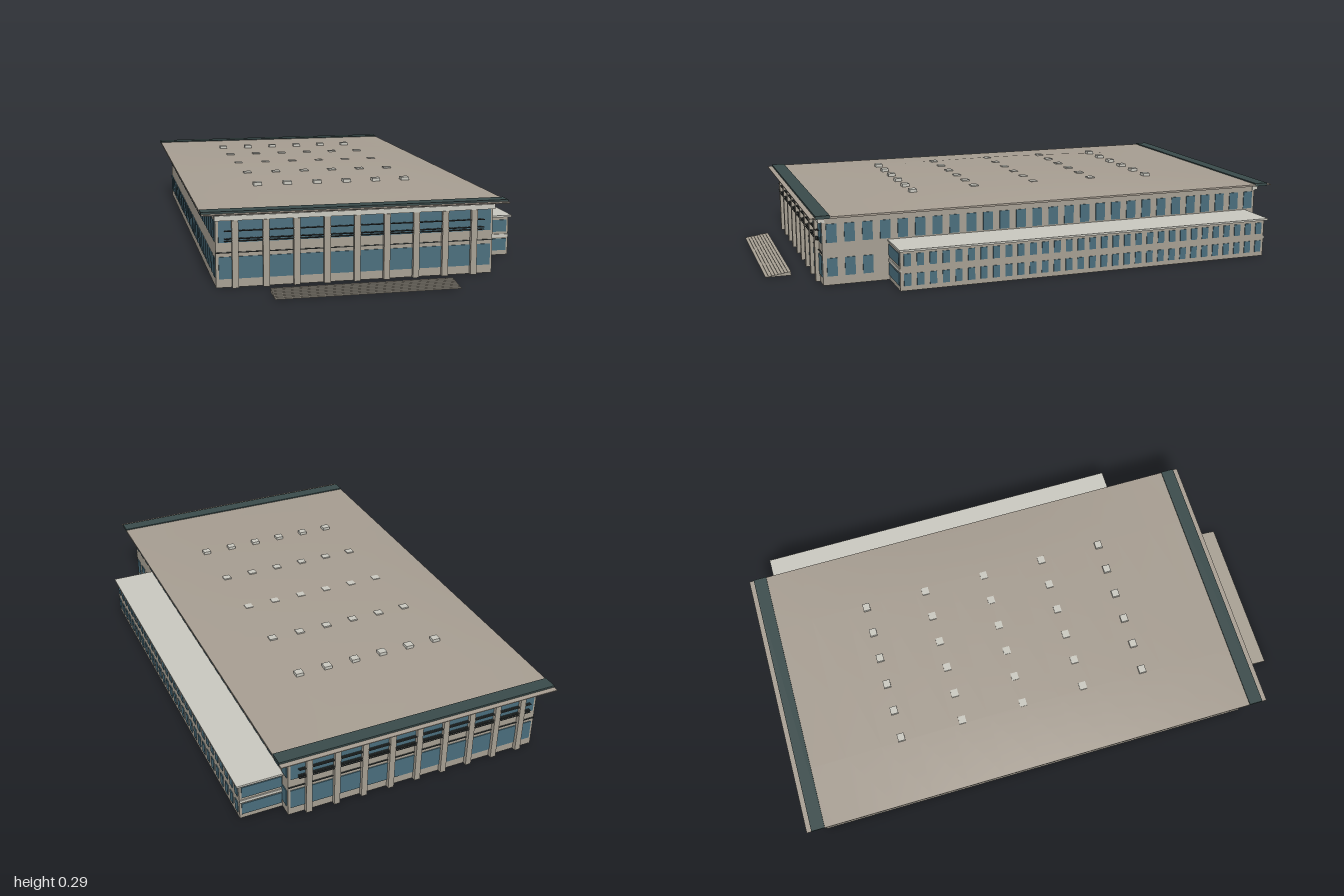
import * as THREE from 'three';
import { mergeGeometries } from 'three/addons/utils/BufferGeometryUtils.js';

const mat = (name, color, side = THREE.FrontSide) => {
  const m = new THREE.MeshStandardMaterial({ color, side });
  m.name = name;
  return m;
};

// box from its limits
function span(x0, x1, y0, y1, z0, z1) {
  return new THREE.BoxGeometry(x1 - x0, y1 - y0, z1 - z0)
    .translate((x0 + x1) / 2, (y0 + y1) / 2, (z0 + z1) / 2);
}

export function createModel() {
  const model = new THREE.Group();
  model.name = 'longHallBuilding';
  const wall = mat('wallStone', 0xa8a194);
  const roofMat = mat('roofSheet', 0xa79e92, THREE.DoubleSide);
  const pale = mat('paleTrim', 0xcac9c0);
  const teal = mat('darkTealMetal', 0x3a4b4b);
  const glass = mat('blueGlass', 0x4b6f7e);
  const dark = mat('darkGrille', 0x363b3a);

  const add = (name, material, geos, parent = model) => {
    const mesh = new THREE.Mesh(geos.length > 1 ? mergeGeometries(geos) : geos[0], material);
    mesh.name = name;
    parent.add(mesh);
    return mesh;
  };

  const X0 = -0.55, X1 = 0.43, Z0 = -0.95, Z1 = 0.817;
  const RX0 = -0.6, RX1 = 0.475, MID = -0.067;

  // Main hall and side wing
  add('mainHall', wall, [span(X0, X1, 0, 0.256, Z0, Z1)]);
  const WX = 0.588, WZ0 = -0.9, WZ1 = 0.573;
  add('sideWing', wall, [span(X1 - 0.01, WX, 0, 0.145, WZ0, WZ1)]);
  add('wingRoof', pale, [span(X1, 0.6, 0.145, 0.152, -0.91, 0.578)]);

  // Two rows of windows along both long walls
  const sideWindows = [];
  for (let i = 0; i < 27; i++) {
    const z = 0.783 - i * 0.0655;
    for (const [y0, y1] of [[0.033, 0.1], [0.157, 0.226]]) {
      sideWindows.push(span(X0 - 0.003, X0 + 0.003, y0, y1, z - 0.019, z + 0.019));
      if (y0 > 0.15 || z > WZ1 + 0.02 || z < WZ0)
        sideWindows.push(span(X1 - 0.003, X1 + 0.003, y0, y1, z - 0.019, z + 0.019));
    }
  }
  add('sideWindows', glass, sideWindows);

  // Small wing windows and full-width end windows
  const wingWindows = [];
  for (const [y0, y1] of [[0.018, 0.063], [0.09, 0.135]]) {
    for (let i = 0; i < 31; i++) {
      const z = 0.547 - i * 0.0474;
      wingWindows.push(span(WX - 0.003, WX + 0.003, y0, y1, z - 0.013, z + 0.013));
    }
    for (const z of [WZ0, WZ1])
      wingWindows.push(span(X1 + 0.003, WX - 0.008, y0, y1, z - 0.003, z + 0.003));
  }
  add('wingWindows', glass, wingWindows);
  add('wingEndBands', pale, [WZ0, WZ1].map(z => span(X1, WX, 0.069, 0.08, z - 0.004, z + 0.004)));

  // Matching front and back facades, mirrored by direction
  for (const [name, z, s] of [['frontFacade', Z1, 1], ['backFacade', Z0, -1]]) {
    const facade = new THREE.Group();
    facade.name = name;
    model.add(facade);
    const out = (x0, x1, y0, y1, a, b) =>
      span(x0, x1, y0, y1, Math.min(z + s * a, z + s * b), Math.max(z + s * a, z + s * b));

    add('facadeGlass', glass, [
      out(-0.54, 0.422, 0.03, 0.106, -0.003, 0.003),
      out(-0.54, 0.422, 0.155, 0.23, -0.003, 0.003)], facade);
    add('floorLine', dark, [out(X0, X1, 0.119, 0.122, 0, 0.004)], facade);
    add('cornice', pale, [out(X0 - 0.004, X1 + 0.004, 0.232, 0.249, -0.01, 0.014)], facade);

    const pilasters = [];
    for (let i = 0; i < 9; i++) {
      const x = -0.485 + i * 0.1053;
      pilasters.push(out(x - 0.011, x + 0.011, 0, 0.232, -0.002, 0.016));
    }
    add('pilasters', wall, pilasters, facade);

    // Open horizontal sunshade grilles between the pilasters
    const bars = [];
    for (const y of [0.161, 0.169, 0.196]) {
      for (const d of [0.004, 0.009, 0.014])
        bars.push(out(-0.52, 0.395, y - 0.0012, y + 0.0012, d - 0.001, d + 0.001));
      for (let x = -0.52; x < 0.396; x += 0.0131)
        bars.push(out(x - 0.001, x + 0.001, y - 0.001, y + 0.001, 0.002, 0.015));
    }
    add('sunshadeGrilles', dark, bars, facade);

    // Teal fascia beam with a thin lip along the roof end
    add('fasciaBeam', teal, [out(RX0, RX1, 0.255, 0.267, -0.023, 0.029)], facade);
    add('roofLip', roofMat, [out(RX0, RX1, 0.257, 0.26, 0.028, 0.048)], facade);
  }

  // Shallow roof: flat across the middle, falling to every eave
  const RZ0 = -0.93, RZ1 = 0.795, EAVE = 0.262;
  add('roofEaves', roofMat, [span(RX0, RX1, 0.255, EAVE, RZ0, RZ1)]);
  const xCuts = [RX0, -0.36, 0.235, RX1];
  const roof = new THREE.PlaneGeometry(2, 2, 3, 12).rotateX(-Math.PI / 2);
  const p = roof.attributes.position;
  for (let i = 0; i < p.count; i++) {
    const col = i % 4, t = Math.floor(i / 4) / 12;
    const rise = col === 0 || col === 3 ? 0 : 0.024 * Math.sin(Math.PI * t);
    p.setXYZ(i, xCuts[col], EAVE + 0.0005 + rise, RZ0 + (RZ1 - RZ0) * t);
  }
  roof.computeVertexNormals();
  add('roof', roofMat, [roof]);

  // Rooflights in a six by five grid
  const lights = [];
  for (let i = 0; i < 6; i++)
    for (let j = -2; j <= 2; j++) {
      const x = -0.345 + i * 0.113, z = MID + j * 0.247;
      lights.push(span(x - 0.015, x + 0.015, EAVE, 0.289, z - 0.014, z + 0.014));
    }
  add('rooflights', pale, lights);

  // Low entrance steps in front
  const N = 8, steps = [];
  for (let i = 0; i < N; i++) {
    const z = 1 - i * 0.095 / N;
    steps.push(span(-0.38, 0.255, 0, 0.014 * (i + 1) / N, z - 0.095 / N, z));
  }
  add('entranceSteps', wall, steps);

  return model;
}
